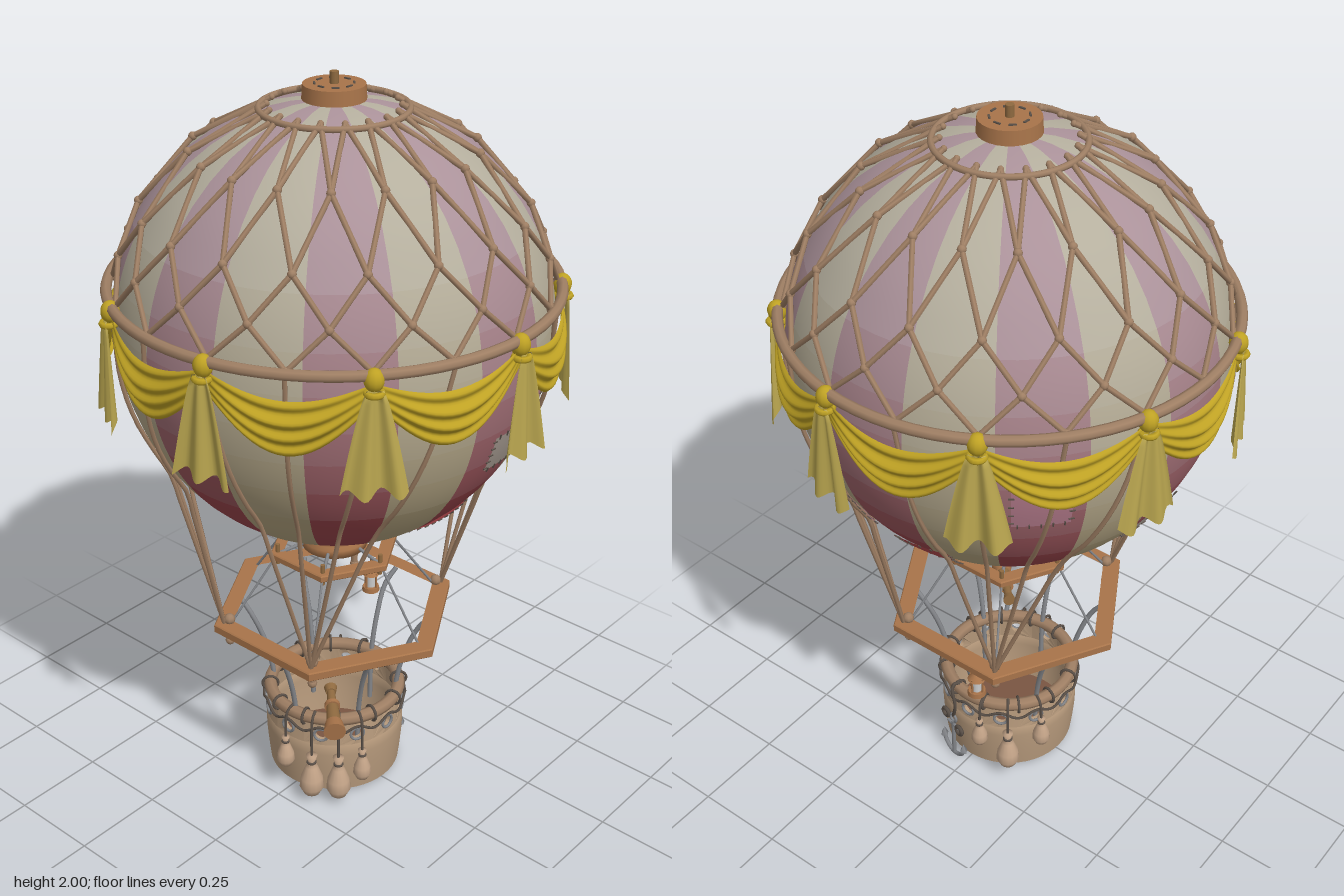
import * as THREE from 'three';
import { mergeGeometries, toCreasedNormals } from 'three/addons/utils/BufferGeometryUtils.js';
import { ParametricGeometry } from 'three/addons/geometries/ParametricGeometry.js';

const V = (x, y, z) => new THREE.Vector3(x, y, z);
const { sin, cos, PI } = Math;
const rad = d => d * PI / 180;
const mat = (color, side = THREE.FrontSide) => new THREE.MeshStandardMaterial({ color, side });
const cloth = color => mat(color, THREE.DoubleSide);
const M = {
  rope: mat(0x9f7f64), wood: mat(0xa8744a), tan: cloth(0xb79a7c), floor: mat(0x7a5542),
  yellow: cloth(0xbfa224), tail: cloth(0xbba750), metal: mat(0x84868a), dark: mat(0x5a5048),
  bag: mat(0xc4a488), brass: mat(0x8f6a40), patchGrey: cloth(0xa59a90), patchPink: cloth(0xb07888), patchRed: cloth(0xb0484c),
};

// Point at angle a from the front, radius r, height y
const polar = (a, r, y) => V(r * sin(a), y, r * cos(a));
// Envelope: a sphere whose lower half is stretched a little
const CY = 1.385, R = 0.55, LOW = 1.08;
const tAt = y => Math.acos((y - CY) / R / (y < CY ? LOW : 1));
const surf = (a, y, off = 0) => polar(a, R * sin(tAt(y)) + off * sin(tAt(y)), y + off * cos(tAt(y)));
const slice = (y0, y1, n, off = 0) => Array.from({ length: n + 1 }, (_, i) => {
  const t = tAt(y0) + (tAt(y1) - tAt(y0)) * i / n;
  return new THREE.Vector2((R + off) * sin(t), CY + (R + off) * cos(t) * (t > PI / 2 ? LOW : 1));
});
const tube = (pts, r, seg = 8, sides = 6, closed = false) =>
  new THREE.TubeGeometry(new THREE.CatmullRomCurve3(pts, closed), seg, r, sides, closed);
const ball = (p, r) => new THREE.SphereGeometry(r, 8, 6).translate(p.x, p.y, p.z);
const cyl = (r0, r1, h, y, sides = 24) => new THREE.CylinderGeometry(r0, r1, h, sides).translate(0, y, 0);
const ring = (r, t, y, seg = 72) => new THREE.TorusGeometry(r, t, 8, seg).rotateX(PI / 2).translate(0, y, 0);
const lathe = (pts, seg = 32) => new THREE.LatheGeometry(pts.map(p => new THREE.Vector2(...p)), seg);

export function createModel() {
  const root = new THREE.Group();
  const add = (name, geo, material, parent = root) => {
    const m = new THREE.Mesh(Array.isArray(geo) ? mergeGeometries(geo) : geo, material);
    m.name = name;
    parent.add(m);
    return m;
  };

  // Envelope gores in alternating colours, fading towards the crown
  const levels = [0.8, 1.05, 1.15, 1.24, 1.33, 1.42, 1.52, 1.64, 1.934];
  for (let k = 0; k < levels.length - 1; k++) {
    const gores = [[], []], f = k / (levels.length - 2);
    for (let i = 0; i < 16; i++) {
      gores[i % 2].push(new THREE.LatheGeometry(slice(levels[k], levels[k + 1], 8), 4, (i - 0.5) * PI / 8, PI / 8));
    }
    add('redGores', gores[0], cloth(new THREE.Color(0x98444a).lerp(new THREE.Color(0xab929a), f)));
    add('creamGores', gores[1], cloth(new THREE.Color(0xb3a37e).lerp(new THREE.Color(0xb5af9e), f)));
  }

  // Stitched patches: angle, height, width in degrees, height, material
  const patches = [[4, 1.18, 15, 0.1, M.patchGrey], [13, 1.25, 9, 0.12, M.patchPink], [7, 0.9, 18, 0.09, M.patchRed],
    [53, 1.05, 12, 0.11, M.patchGrey], [70, 1.06, 14, 0.12, M.patchPink], [98, 0.98, 20, 0.1, M.patchRed],
    [135, 1.28, 15, 0.14, M.patchPink], [180, 1.02, 14, 0.13, M.patchGrey], [228, 0.92, 20, 0.09, M.patchRed]];
  for (const [deg, y, w, h, material] of patches) {
    const a0 = rad(deg - w / 2), a1 = rad(deg + w / 2), y0 = y - h / 2, y1 = y + h / 2;
    add('patch', new THREE.LatheGeometry(slice(y0, y1, 4, 0.005), 5, a0, a1 - a0), material);
    const stitches = [];
    const stitch = (a, sy, sx, sh) => {
      const o = new THREE.Object3D();
      o.position.copy(surf(a, sy, 0.006));
      o.lookAt(surf(a, sy, 0.3));
      o.updateMatrix();
      stitches.push(new THREE.BoxGeometry(sx, sh, 0.003).applyMatrix4(o.matrix));
    };
    for (let k = 0.5; k < 5; k++) {
      for (const sy of [y0, y1]) stitch(a0 + (a1 - a0) * k / 5, sy, 0.003, 0.014);
      for (const a of [a0, a1]) stitch(a, y0 + h * k / 5, 0.014, 0.003);
    }
    add('patchStitches', stitches, M.dark);
  }

  // Diamond net of straight ropes with knotted crossings
  const rows = [1.912, 1.815, 1.675, 1.57, 1.48], net = [ring(0.18, 0.008, 1.914)];
  for (let k = 0; k < rows.length; k++) for (let i = 0; i < 18; i++) {
    const a = rad(20 * (i + (k % 2) / 2)), p = surf(a, rows[k], 0.01);
    net.push(ball(p, k ? 0.011 : 0.008));
    if (k < rows.length - 1) for (const s of [-1, 1]) {
      net.push(tube([p, surf(a + s * rad(10), rows[k + 1], 0.01)], 0.007, 1, 6));
    }
  }
  add('net', net, M.rope);
  add('hoop', ring(0.563, 0.014, 1.48), M.rope);

  // Crown cap and finial
  add('crownCap', cyl(0.076, 0.078, 0.036, 1.953), M.wood);
  add('finial', cyl(0.011, 0.011, 0.05, 1.975, 10), M.brass);
  add('crownSlots', Array.from({ length: 8 }, (_, i) => new THREE.BoxGeometry(0.018, 0.004, 0.005).translate(0, 1.972, 0.047).rotateY(i * PI / 4)), M.dark);

  // Swags, knots and hanging tails
  for (let i = 0; i < 9; i++) {
    const drape = new THREE.Group();
    drape.name = 'drape';
    drape.rotation.y = rad(40 * i);
    root.add(drape);
    add('swag', new ParametricGeometry((u, v, p) => {
      const s = sin(PI * u), top = 1.46 - 0.045 * s, bottom = 1.41 - 0.132 * s;
      const r = 0.564 + 0.018 * s * sin(PI * v) + 0.006 * s * sin(v * PI * 7);
      p.copy(polar(rad(40 * u), r, top + (bottom - top) * v));
    }, 20, 28), M.yellow, drape);
    // Flared tail with two soft folds, its hem slightly uneven
    add('tail', new ParametricGeometry((u, v, p) => {
      const x = (u - 0.5) * (0.04 + 0.12 * Math.pow(v, 0.8)), fold = cos(u * PI * 4 + i);
      p.set(x, 1.45 - (0.258 + 0.012 * fold) * v, 0.58 + 0.006 * v + (0.003 + 0.009 * v) * fold);
    }, 20, 8), M.tail, drape);
    const knot = add('knot', new THREE.SphereGeometry(1, 12, 10), M.yellow, drape);
    knot.position.set(0, 1.47, 0.565);
    knot.scale.set(0.024, 0.028, 0.024);
    add('knotBand', new THREE.TorusGeometry(0.018, 0.008, 6, 14).rotateX(PI / 2).translate(0, 1.44, 0.57), M.yellow, drape);
  }

  // Taut load ropes from the hoop over the envelope to four corners of the large frame
  const ropes = [];
  for (let i = 1; i < 18; i++) if (i !== 9) {
    const a = rad(20 * i), c = rad(i < 5 ? 60 : i < 9 ? 120 : i < 14 ? 240 : 300);
    const start = polar(a, 0.563, 1.48), end = polar(c, 0.315, 0.52);
    ropes.push(tube(Array.from({ length: 13 }, (_, k) => {
      const p = start.clone().lerp(end, k / 12), r = Math.hypot(p.x, p.z);
      const grow = p.y > 0.82 ? Math.max(1, (R * sin(tAt(p.y)) + 0.008) / r) : 1;
      return V(p.x * grow, p.y, p.z * grow);
    }), 0.006, 24, 5));
  }
  add('loadRopes', ropes, M.rope);

  // Mouth collar
  add('mouthCollar', lathe([[0.06, 0.715], [0.088, 0.715], [0.09, 0.738], [0.08, 0.745], [0.08, 0.764], [0.1, 0.772], [0.104, 0.805], [0.09, 0.81]]), M.wood);
  add('collarBand', ring(0.102, 0.007, 0.797, 40), M.metal);

  // Hexagonal frames with pegs
  const hexPath = (P, r) => new P(Array.from({ length: 6 }, (_, i) => new THREE.Vector2(r * sin(i * PI / 3), r * cos(i * PI / 3))));
  const hexFrame = (name, r, w, y, h) => {
    const s = hexPath(THREE.Shape, r);
    s.holes.push(hexPath(THREE.Path, r - w));
    const g = new THREE.ExtrudeGeometry(s, { depth: h, bevelThickness: 0.003, bevelSize: 0.003, bevelSegments: 1 });
    add(name, g.rotateX(-PI / 2).translate(0, y - h / 2, 0), M.wood);
  };
  hexFrame('upperFrame', 0.178, 0.035, 0.706, 0.014);
  hexFrame('lowerFrame', 0.34, 0.05, 0.508, 0.02);
  for (let i = 0; i < 6; i++) {
    const a = i * PI / 3, m = a + PI / 6, n = m + rad(3);
    const up = polar(a, 0.16, 0.71), low = polar(a, 0.3, 0.51);
    add('framePeg', cyl(0.006, 0.006, 0.06, 0, 8).translate(up.x, up.y, up.z), M.brass);
    add('frameStay', [tube([up, low], 0.0035, 1), tube([polar(a, 0.085, 0.73), up], 0.005, 1)], M.metal);
    if (i % 3) add('ropeHook', [cyl(0.01, 0.01, 0.05, 0, 8).translate(low.x, 0.485, low.z), ball(V(low.x, 0.462, low.z), 0.013),
      ball(V(low.x, 0.53, low.z), 0.016)], M.rope);
    // Bent tubes carrying the basket
    add('basketStrut', tube([polar(m, 0.27, 0.505), polar(n, 0.235, 0.46), polar(n, 0.2, 0.38), polar(n, 0.175, 0.27), polar(n, 0.168, 0.1)], 0.007, 16, 8), M.metal);
  }

  // Basket: tub with a band of round holes under the rim
  const wall = y => 0.174 + 0.012 * sin(PI * Math.min(1, y / 0.3));
  const ys = [0.015, 0.05, 0.1, 0.14, 0.175];
  add('basketWall', lathe([...ys.map(y => [wall(y) + 0.008, y]), ...ys.slice().reverse().map(y => [wall(y) - 0.004, y])], 48), M.tan);
  add('basketFloor', cyl(0.183, 0.177, 0.016, 0.018, 48), M.floor);
  const half = rad(15) * 0.18, panel = new THREE.Shape();
  panel.moveTo(-half, 0.175);
  for (let k = 1; k <= 6; k++) panel.lineTo(-half + half * k / 3, 0.175);
  for (let k = 0; k <= 6; k++) panel.lineTo(half - half * k / 3, 0.262);
  panel.holes.push(new THREE.Path().absarc(0, 0.21, 0.017, 0, 2 * PI, true));
  let band = new THREE.ExtrudeGeometry(panel, { depth: 0.012, bevelEnabled: false, curveSegments: 8 });
  const bp = band.attributes.position;
  for (let k = 0; k < bp.count; k++) {
    const q = polar(bp.getX(k) / 0.18, wall(bp.getY(k)) - 0.004 + bp.getZ(k), bp.getY(k));
    bp.setXYZ(k, q.x, q.y, q.z);
  }
  band = toCreasedNormals(band, 0.7);
  const bands = [], grommets = [], loops = [];
  for (let i = 0; i < 12; i++) {
    const a = rad(30 * i);
    bands.push(band.clone().rotateY(a));
    grommets.push(new THREE.TorusGeometry(0.019, 0.004, 6, 16).translate(0, 0.21, 0.194).rotateY(a));
    loops.push(new THREE.TorusGeometry(0.022, 0.004, 6, 16).rotateY(PI / 2).translate(0, 0.256, 0.182).rotateY(a + rad(15)));
  }
  add('basketHoleBand', bands, M.tan);
  add('grommets', grommets, M.metal);
  add('rimLoops', loops, M.dark);
  add('basketRim', ring(0.181, 0.018, 0.256, 48), M.rope);
  add('scallopRope', tube(Array.from({ length: 96 }, (_, i) => polar(rad(i * 3.75), 0.2, 0.228 + 0.01 * cos(rad(i * 45)))), 0.004, 144, 5, true), M.dark);

  // Sandbags: angle, bottom height, size
  const bags = [[-28, 0.07, 0.85], [-46, 0.02, 1.15], [-66, 0.02, 1.15], [-88, 0.09, 0.85], [104, 0.12, 0.8], [126, 0.05, 1.1], [152, 0.12, 0.85]];
  for (const [deg, y, s] of bags) {
    const p = polar(rad(deg), 0.215, y), top = y + 0.115 * s;
    add('sandbag', lathe([[0, 0], [0.02, 0.005], [0.03, 0.025], [0.027, 0.05], [0.015, 0.082], [0.008, 0.095], [0.014, 0.115], [0, 0.115]], 14).scale(s, s, s).translate(p.x, p.y, p.z), M.bag);
    add('sandbagCord', [tube([V(p.x, top - 0.01, p.z), polar(rad(deg), 0.205, 0.268), polar(rad(deg), 0.18, 0.277)], 0.004),
      ring(0.009 * s, 0.004, 0, 12).translate(p.x, y + 0.095 * s, p.z)], M.dark);
  }

  // Anchor with its pulleys, hanging on the left side
  const anchor = new THREE.Group();
  anchor.name = 'anchor';
  anchor.position.set(0.2, 0, 0.05);
  anchor.rotation.y = rad(76);
  add('anchorIron', [cyl(0.006, 0.006, 0.13, 0.07, 8), new THREE.TorusGeometry(0.045, 0.006, 6, 16, PI).rotateZ(PI).translate(0, 0.051, 0),
    cyl(0.005, 0.005, 0.05, 0, 8).rotateZ(PI / 2).translate(0, 0.12, 0),
    new THREE.TorusGeometry(0.013, 0.004, 6, 14).translate(0, 0.147, 0)], M.metal, anchor);
  for (const s of [-1, 1]) add('fluke', new THREE.ConeGeometry(0.013, 0.03, 4).translate(s * 0.045, 0.058, 0), M.metal, anchor);
  add('anchorRope', tube([V(0, 0.155, 0), V(0.015, 0.21, 0.004), V(0, 0.28, 0), V(0, 0.27, -0.03)], 0.005, 12), M.dark, anchor);
  add('pulleys', [[-0.03, 0.15], [0.03, 0.12]].map(([x, y]) => new THREE.TorusGeometry(0.013, 0.006, 6, 14).translate(x, y, 0.003)), M.dark, anchor);
  root.add(anchor);

  // Telescope on a rim bracket
  const scope = new THREE.Group();
  scope.name = 'telescope';
  scope.position.set(-0.175, 0.335, 0.145);
  scope.lookAt(-0.24, 0.325, 0.21);
  const barrel = (r0, r1, h, z) => new THREE.CylinderGeometry(r1, r0, h, 16).rotateX(PI / 2).translate(0, 0, z);
  add('scopeBarrel', [barrel(0.016, 0.02, 0.07, 0.03), barrel(0.011, 0.013, 0.06, -0.03), barrel(0.018, 0.014, 0.02, -0.065)], M.brass, scope);
  add('scopeRings', [barrel(0.023, 0.03, 0.035, 0.08), barrel(0.021, 0.021, 0.012, -0.003)], M.wood, scope);
  root.add(scope);
  add('scopeBracket', tube([V(-0.172, 0.33, 0.142), V(-0.16, 0.3, 0.125), V(-0.14, 0.26, 0.12)], 0.007), M.metal);

  // Lantern under the large frame
  const lamp = new THREE.Group();
  lamp.name = 'lantern';
  lamp.position.set(0.265, 0, -0.09);
  add('lanternFrame', [cyl(0.024, 0.026, 0.014, 0.4, 12), cyl(0.008, 0.025, 0.02, 0.458, 12), cyl(0.003, 0.003, 0.04, 0.485, 6),
    ...[0, 1, 2, 3].map(k => cyl(0.003, 0.003, 0.05, 0.43, 5).translate(0.02 * cos(k * PI / 2), 0, 0.02 * sin(k * PI / 2)))], M.wood, lamp);
  add('lanternGlass', cyl(0.014, 0.014, 0.045, 0.428, 12), mat(0xcccccc), lamp);
  root.add(lamp);

  root.position.set(-0.005, 0, -0.005);
  const model = new THREE.Group();
  model.name = 'hotAirBalloon';
  model.add(root);
  return model;
}
